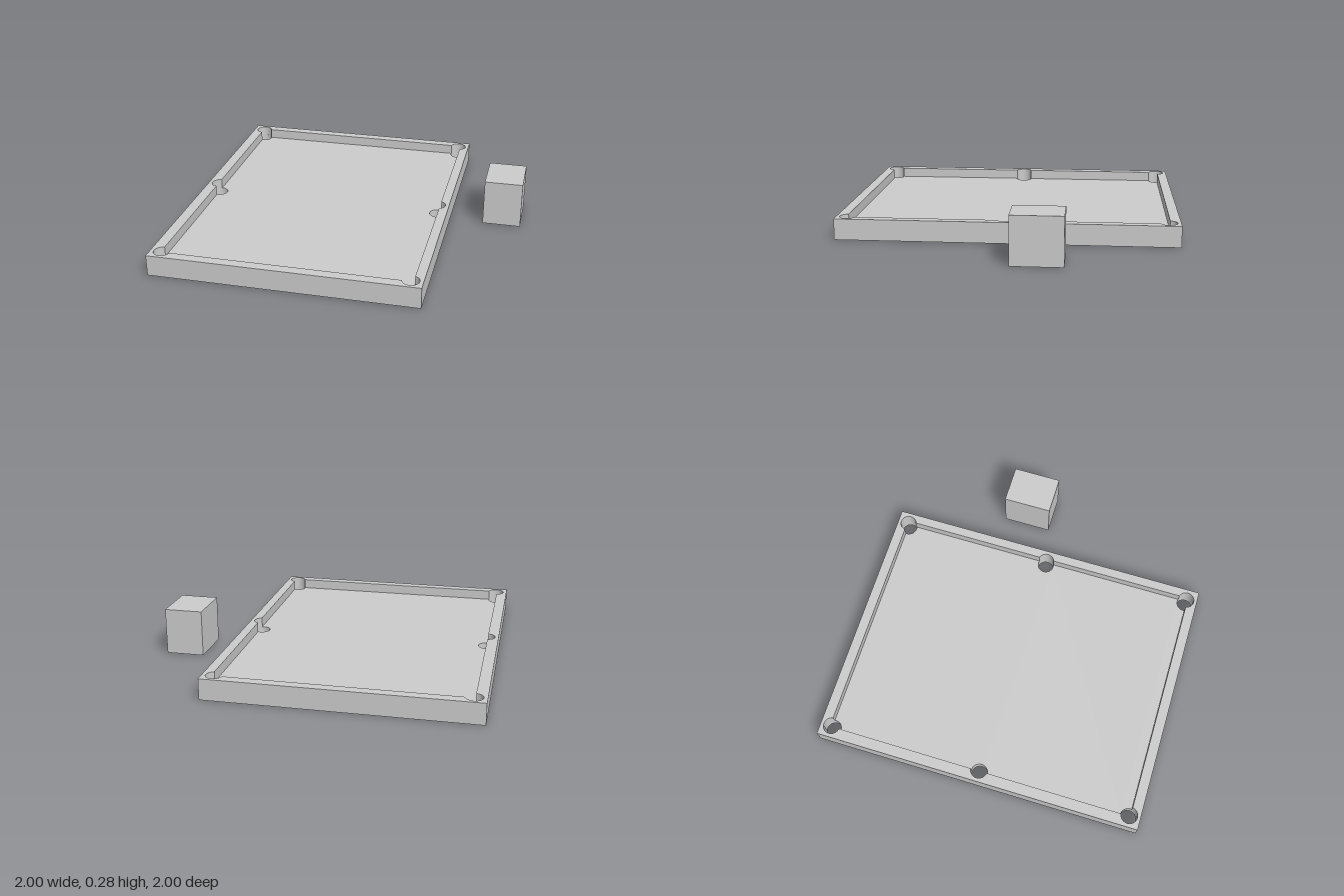
import * as THREE from 'three';

const LEFT = -1, RIGHT = 0.56, HALF = 1;         // outer edges of the table
const IN_L = -0.935, IN_R = 0.505, IN_Z = 0.94;  // inner edges of the rails
const BED = 0.065, TOP = 0.125, R = 0.049;       // bed height, rail height, pocket radius

const material = new THREE.MeshStandardMaterial({ color: 0xcccccc });

function outline() {
  return new THREE.Shape([[LEFT, -HALF], [RIGHT, -HALF], [RIGHT, HALF], [LEFT, HALF]]
    .map(([x, y]) => new THREE.Vector2(x, y)));
}

// Extrudes a plan shape (shape y = -z) upward from y0 to y1
function slab(name, shape, y0, y1) {
  const g = new THREE.ExtrudeGeometry(shape, { depth: y1 - y0, bevelEnabled: false, curveSegments: 24 });
  g.rotateX(-Math.PI / 2).translate(0, y0, 0);
  const mesh = new THREE.Mesh(g, material);
  mesh.name = name;
  return mesh;
}

export function createModel() {
  const group = new THREE.Group();
  group.name = 'poolTable';

  // Pocket centres, counter-clockwise in plan
  const xl = -0.93, xr = 0.49, zc = 0.932, zm = -0.005;
  const pockets = [[xr, -zc], [xr, zm], [xr, zc], [xl, zc], [xl, zm], [xl, -zc]];

  // Bed with six through holes
  const bed = outline();
  for (const [x, y] of pockets) {
    bed.holes.push(new THREE.Path().absarc(x, y, R, 0, Math.PI * 2, false));
  }
  group.add(slab('bed', bed, 0, BED));

  // Rails: the inner edge follows the cushions and bulges round each pocket
  const inner = new THREE.Path();
  const reach = d => Math.sqrt(R * R - d * d);
  pockets.forEach(([x, y], i) => {
    const s = x > 0 ? 1 : -1;
    const dx = (s > 0 ? IN_R : IN_L) - x;
    const dy = Math.sign(y) * IN_Z - y;
    const onSide = dir => Math.atan2(dir * reach(dx), dx);
    const onEnd = dir => Math.atan2(dy, dir * reach(dy));
    const middle = i % 3 === 1, first = i % 3 === 0;
    const a0 = middle || !first ? onSide(-s) : onEnd(-s);
    const a1 = middle || first ? onSide(s) : onEnd(-s);
    inner.absarc(x, y, R, a0, a1, false);
  });
  inner.closePath();
  const rails = outline();
  rails.holes.push(inner);
  group.add(slab('rails', rails, BED, TOP));

  // Separate block standing beside the table
  const block = new THREE.Mesh(new THREE.BoxGeometry(0.23, 0.28, 0.295), material);
  block.name = 'sideBlock';
  block.position.set(0.88, 0.14, -0.205);
  group.add(block);

  return group;
}
